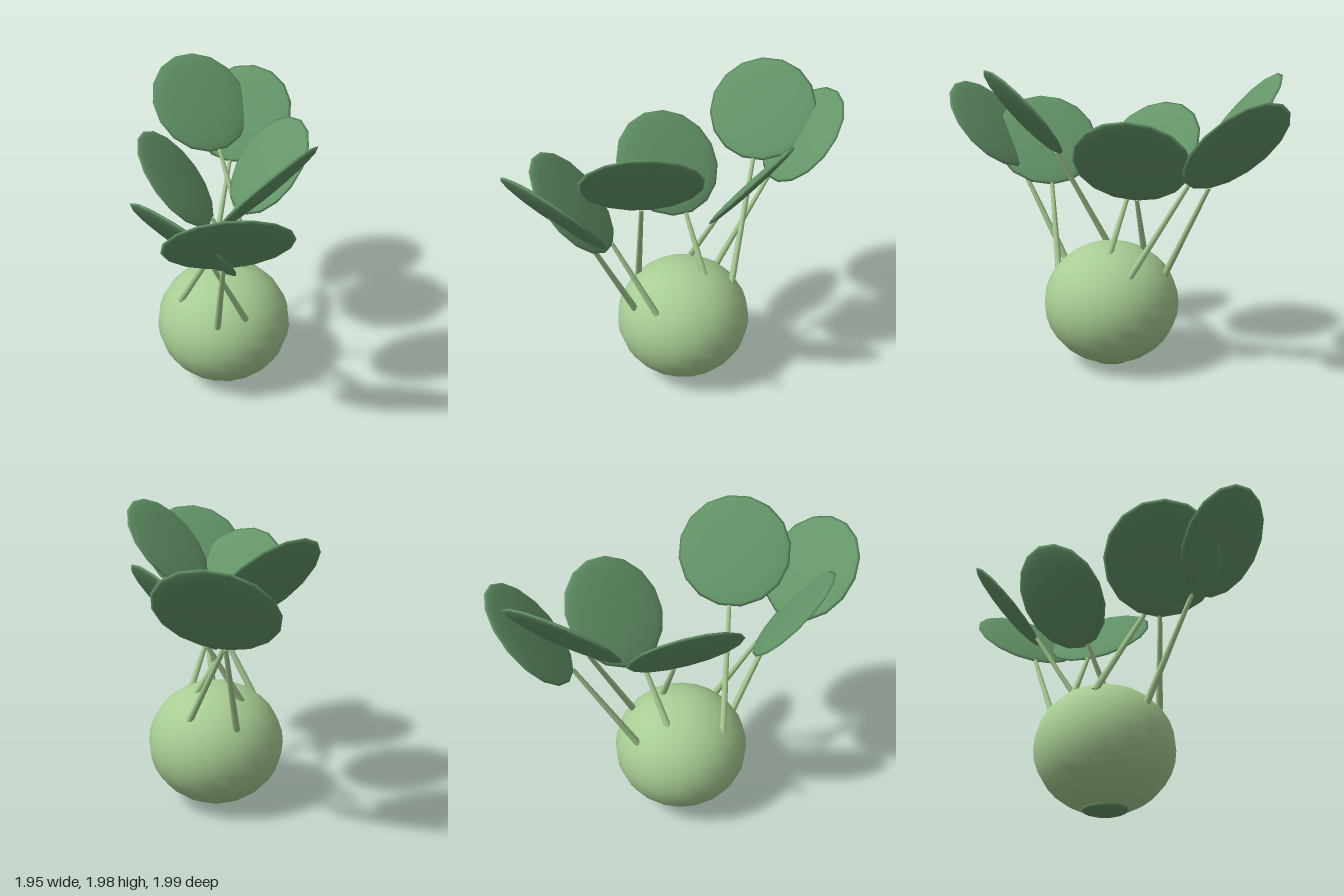
import * as THREE from 'three';

// Each leaf: disc centre, disc normal, and the point where its stem leaves the bulb
const LEAVES = [
  { centre: [-0.61, 1.58, -0.75], normal: [0.31, 0.64, 0.71], root: [-0.35, 0.66, -0.2] },
  { centre: [-0.735, 1.705, -0.47], normal: [0.75, 0.64, 0.14], root: [-0.08, 0.7, -0.33] },
  { centre: [-0.05, 1.455, -0.44], normal: [-0.31, 0.64, 0.71], root: [-0.25, 0.78, -0.02] },
  { centre: [-0.33, 1.455, 0.135], normal: [0.61, 0.64, -0.47], root: [0.02, 0.8, -0.15] },
  { centre: [0.525, 1.705, 0.177], normal: [-0.75, 0.64, 0.14], root: [-0.1, 0.71, 0.32] },
  { centre: [0.3, 1.455, 0.645], normal: [0, 0.64, -0.77], root: [0.31, 0.67, 0.14] },
  { centre: [0.685, 1.58, 0.66], normal: [-0.61, 0.64, -0.47], root: [0.22, 0.64, 0.3] },
];
const LEAF_RADIUS = 0.37;
const UP = new THREE.Vector3(0, 1, 0);

function material(name, color) {
  const m = new THREE.MeshStandardMaterial({ color });
  m.name = name;
  return m;
}

export function createModel() {
  const group = new THREE.Group();
  group.name = 'leafyBulb';
  const paleGreen = material('paleGreen', 0xa8cd94);
  const leafGreen = material('leafGreen', 0x649568);

  function add(name, geometry, mat) {
    const mesh = new THREE.Mesh(geometry, mat);
    mesh.name = name;
    group.add(mesh);
    return mesh;
  }

  // Round bulb, slightly squashed
  const bulb = add('bulb', new THREE.SphereGeometry(1, 20, 16), paleGreen);
  bulb.scale.set(0.457, 0.415, 0.457);
  bulb.position.set(-0.03, 0.427, 0);

  // Dark patch under the bulb
  const base = add('bulbBase', new THREE.SphereGeometry(1, 16, 8), leafGreen);
  base.scale.set(0.15, 0.035, 0.15);
  base.position.set(-0.03, 0.035, 0);

  // Flat round leaf and the stem to its lowest edge
  const leafGeometry = new THREE.SphereGeometry(1, 16, 10);
  LEAVES.forEach(({ centre, normal, root }, i) => {
    const c = new THREE.Vector3(...centre);
    const n = new THREE.Vector3(...normal).normalize();
    const leaf = add(`leaf${i + 1}`, leafGeometry, leafGreen);
    leaf.scale.set(LEAF_RADIUS, 0.03, LEAF_RADIUS);
    leaf.position.copy(c);
    leaf.quaternion.setFromUnitVectors(UP, n);

    const downhill = n.clone().multiplyScalar(n.y).sub(UP).normalize();
    const tip = c.clone().addScaledVector(downhill, LEAF_RADIUS * 0.97);
    const foot = new THREE.Vector3(...root);
    const dir = tip.clone().sub(foot).normalize();
    foot.addScaledVector(dir, -0.015);
    const stem = add(`stem${i + 1}`, new THREE.CylinderGeometry(0.014, 0.023, tip.distanceTo(foot), 8), paleGreen);
    stem.position.copy(tip).add(foot).multiplyScalar(0.5);
    stem.quaternion.setFromUnitVectors(UP, dir);
  });

  return group;
}
